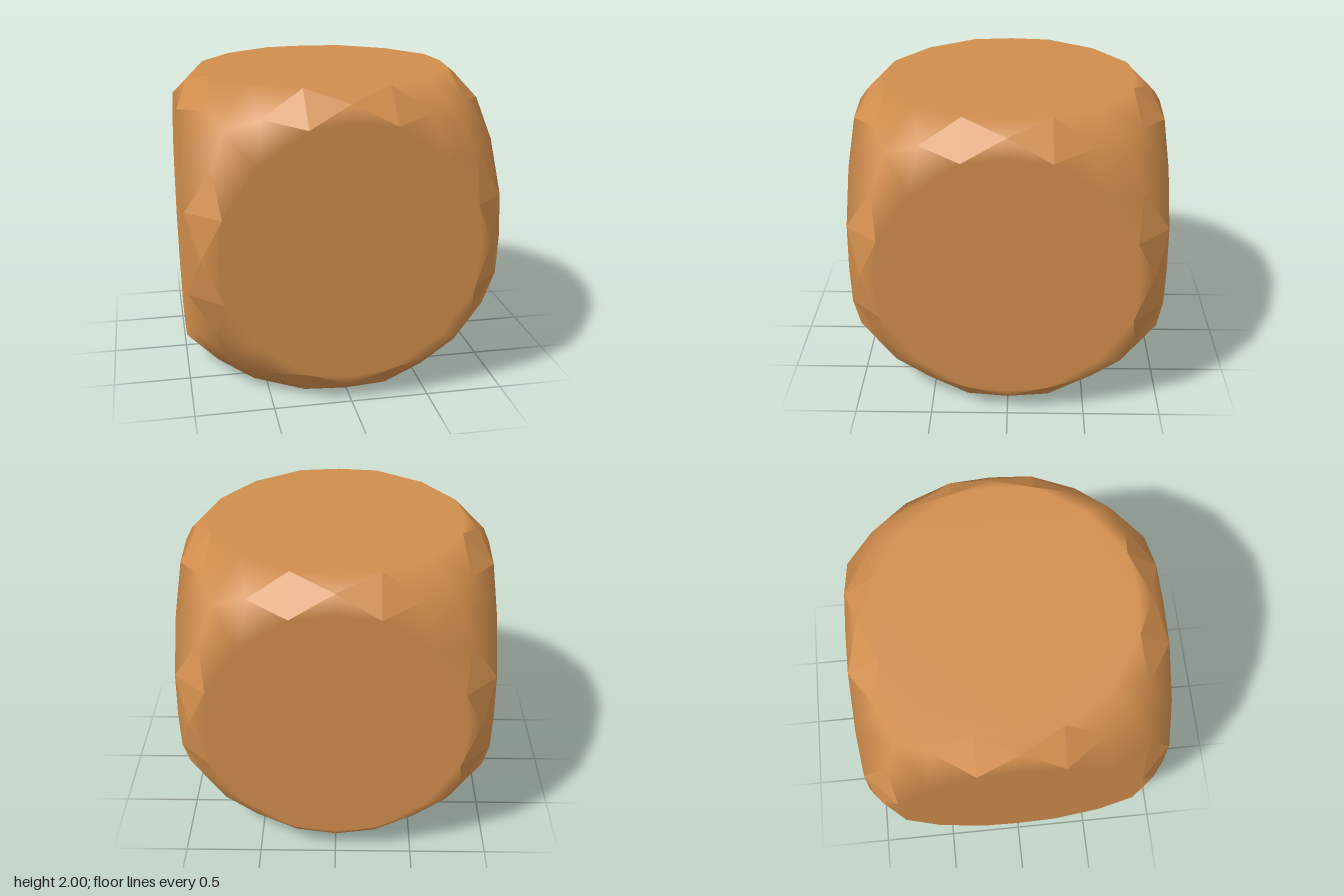
import * as THREE from 'three';
import { ConvexGeometry } from 'three/addons/geometries/ConvexGeometry.js';

// One corner of each kind on the rounded cube; the rest follow by symmetry
const SEEDS = [
  [0, 0.82, 1], [0.27, 0.79, 1], [0.58, 0.58, 1], // rim of a flat face
  [0, 0.92, 0.92], [0.53, 0.83, 0.83], // ridge between two faces
  [0.75, 0.75, 0.75], // corner
];
const ORDERS = [[0, 1, 2], [0, 2, 1], [1, 0, 2], [1, 2, 0], [2, 0, 1], [2, 1, 0]];

// All axis swaps and mirror images of the seeds, without repeats
function symmetricPoints() {
  const points = new Map();
  for (const seed of SEEDS) {
    for (const order of ORDERS) {
      for (let signs = 0; signs < 8; signs++) {
        const c = order.map((k, i) => (signs & (1 << i) ? -1 : 1) * seed[k] + 0);
        points.set(c.map((v) => v.toFixed(2).replace('-0.00', '0.00')).join(), new THREE.Vector3(...c));
      }
    }
  }
  return [...points.values()];
}

// Outward axis of the flat face a point lies on, or null
function faceAxis(p) {
  for (let i = 0; i < 3; i++) {
    if (Math.abs(p.getComponent(i)) > 0.999) {
      return new THREE.Vector3().setComponent(i, Math.sign(p.getComponent(i)));
    }
  }
  return null;
}

// Rims blend into their flat face, ridges and corners are round,
// and facets bridging two faces stay flat with hard edges
function shade(geometry) {
  const pos = geometry.attributes.position;
  const normal = geometry.attributes.normal;
  for (let i = 0; i < pos.count; i += 3) {
    const corners = [0, 1, 2].map((k) => new THREE.Vector3().fromBufferAttribute(pos, i + k));
    const axes = corners.map(faceAxis);
    const used = axes.filter(Boolean);
    if (used.some((a) => !a.equals(used[0]))) continue;
    corners.forEach((p, k) => {
      const n = axes[k] || p.clone().normalize();
      normal.setXYZ(i + k, n.x, n.y, n.z);
    });
  }
}

export function createModel() {
  const group = new THREE.Group();
  group.name = 'roundedCube';
  const geometry = new ConvexGeometry(symmetricPoints());
  shade(geometry);
  geometry.translate(0, 1, 0);
  const body = new THREE.Mesh(geometry, new THREE.MeshStandardMaterial({ color: 0xd08d4c }));
  body.name = 'body';
  group.add(body);
  return group;
}
